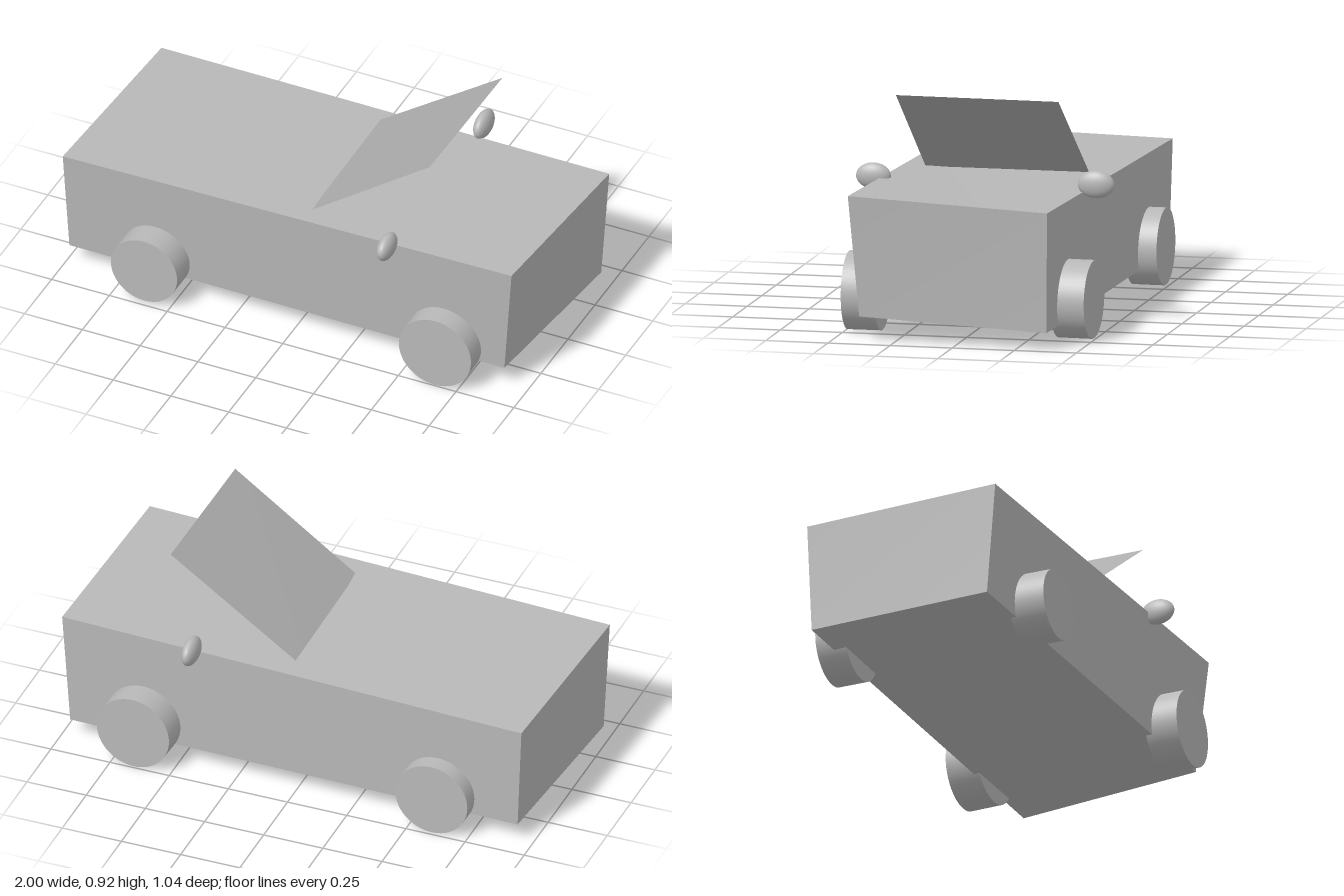
import * as THREE from 'three';

export function createModel() {
  const model = new THREE.Group();
  const bodyGrey = new THREE.MeshStandardMaterial({ color: 0xb8b8b8 });
  bodyGrey.name = 'body grey';
  const glassGrey = new THREE.MeshStandardMaterial({ color: 0xacacac, side: THREE.DoubleSide });
  glassGrey.name = 'windscreen grey';

  const add = (name, geometry, material, x = 0, y = 0, z = 0) => {
    const mesh = new THREE.Mesh(geometry, material);
    mesh.name = name;
    mesh.position.set(x, y, z);
    model.add(mesh);
    return mesh;
  };

  // Body: a box whose corners are pulled slightly askew (order: x, then y, then z sign)
  const corners = [
    [-0.94, 0.08, -0.42], [-0.99, 0.075, 0.357],
    [-0.96, 0.52, -0.43], [-1.0, 0.53, 0.397],
    [0.97, 0.068, -0.372], [0.91, 0.095, 0.395],
    [1.0, 0.55, -0.382], [0.957, 0.58, 0.43],
  ];
  const box = new THREE.BoxGeometry(2, 2, 2);
  const p = box.attributes.position;
  for (let i = 0; i < p.count; i++) {
    const k = (p.getX(i) > 0 ? 4 : 0) + (p.getY(i) > 0 ? 2 : 0) + (p.getZ(i) > 0 ? 1 : 0);
    p.setXYZ(i, ...corners[k]);
  }
  box.computeVertexNormals();
  add('body', box, bodyGrey);

  // Windscreen: one thin slanted sheet rising from the top of the body
  const sheet = new THREE.PlaneGeometry(2, 2);
  const q = sheet.attributes.position;
  for (let i = 0; i < q.count; i++) {
    const top = q.getY(i) > 0, front = q.getX(i) > 0;
    q.setXYZ(i, (top ? 0.56 : 0.04) + (front ? 0.004 : -0.004) * (top ? -1 : 1),
      top ? 0.918 : 0.55, front ? 0.33 : -0.326);
  }
  sheet.computeVertexNormals();
  add('windscreen', sheet, glassGrey);

  // Wheels: x, y, radius, inner z, outer z, side, yaw
  const wheels = [
    ['frontLeftWheel', 0.655, 0.155, 0.155, 0.36, 0.495, 1, 0.015],
    ['frontRightWheel', 0.655, 0.155, 0.155, 0.355, 0.491, -1, -0.035],
    ['rearLeftWheel', -0.605, 0.157, 0.143, 0.34, 0.49, 1, 0],
    ['rearRightWheel', -0.603, 0.153, 0.153, 0.36, 0.486, -1, -0.015],
  ];
  for (const [name, x, y, r, inner, outer, side, yaw] of wheels) {
    const wheel = new THREE.CylinderGeometry(r, r, outer - inner, 48).rotateX(Math.PI / 2);
    add(name, wheel, bodyGrey, x, y, side * (inner + outer) / 2).rotation.y = yaw;
  }

  // Mirrors: egg shapes on both sides
  for (const [name, z, ry, rz] of [['leftMirror', 0.45, 0.052, 0.07], ['rightMirror', -0.446, 0.055, 0.074]]) {
    const egg = new THREE.SphereGeometry(1, 32, 20).scale(0.032, ry, rz);
    add(name, egg, bodyGrey, 0.428, 0.572, z);
  }
  return model;
}
